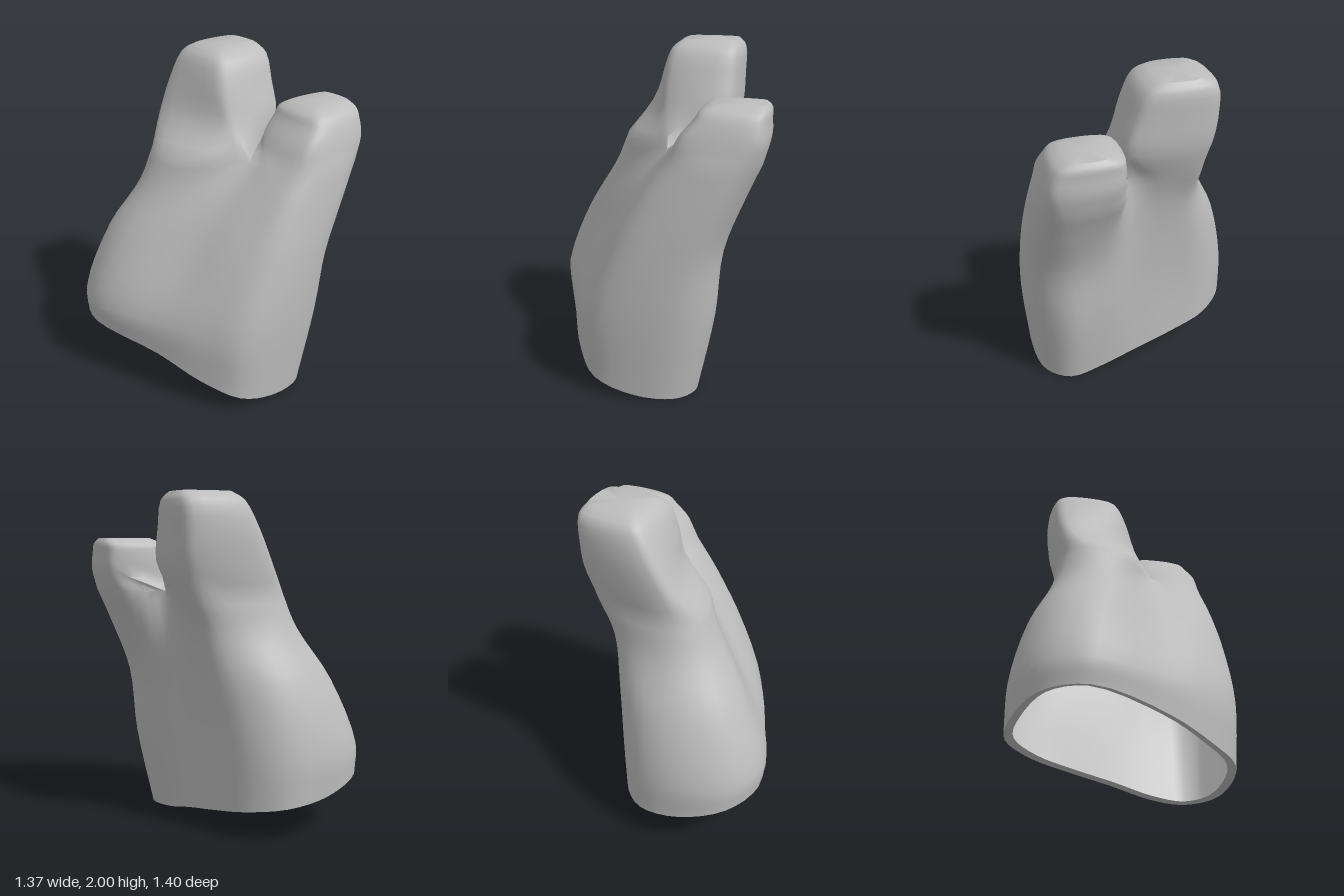
import * as THREE from 'three';
import { toCreasedNormals } from 'three/addons/utils/BufferGeometryUtils.js';

const SUB = 4;            // samples between neighbouring control points
const ARC = 7 * SUB;      // samples along one lobe
const RING = 2 * ARC;     // samples around the joined body
const WALL = 0.05;

// Heights of the slanted lower rim at the control points of the first section
const RIM_Y = [.28, .35, .33, .26, .22, .18, .13, .08, .02, .005, .01, .03, .1, .18];

// Body sections [y, x,z ...]: front crease, six points round the right lobe,
// back crease, six points round the left lobe.
const SECTIONS = [
  [0, .15, .52, -.3, .68, -.55, .58, -.67, .32, -.67, .06, -.5, -.13, -.25, -.21,
    0, -.26, .25, -.3, .45, -.33, .59, -.23, .64, 0, .61, .25, .42, .4],
  [.5, .16, .51, -.28, .69, -.53, .6, -.67, .34, -.66, .05, -.5, -.14, -.24, -.22,
    .02, -.29, .25, -.38, .47, -.43, .63, -.3, .68, -.02, .63, .24, .43, .38],
  [.9, .16, .3, -.2, .52, -.43, .48, -.57, .26, -.57, 0, -.42, -.2, -.2, -.27,
    .04, -.33, .25, -.43, .48, -.47, .64, -.36, .68, -.12, .62, .1, .42, .22],
  [1.2, .2, .1, -.1, .32, -.3, .32, -.43, .17, -.43, -.07, -.34, -.27, -.18, -.33,
    .06, -.36, .22, -.52, .48, -.58, .63, -.48, .66, -.25, .6, -.05, .43, .03],
  [1.42, .24, -.1, .03, .17, -.24, .24, -.37, .14, -.39, -.16, -.34, -.37, -.12, -.4,
    .09, -.37, .18, -.62, .5, -.67, .6, -.6, .64, -.38, .58, -.19, .4, -.12],
];

// Stub sections: y, x0, x1, z0, z1, and how far the front's inner end is set back
const RIGHT_STUB = [
  [1.6, -.4, .12, -.44, .14, .17], [1.8, -.42, .06, -.45, .03, .06],
  [1.95, -.4, 0, -.45, -.06, 0], [2, -.33, -.07, -.42, -.12, 0],
];
const LEFT_STUB = [
  [1.55, .17, .59, -.69, -.23, 0], [1.65, .17, .56, -.69, -.31, 0],
  [1.7, .18, .53, -.69, -.34, 0], [1.735, .25, .47, -.67, -.4, 0],
];
// Rounded rectangle in unit coordinates, starting at the inner front corner
const UNIT = [[1, .88], [.88, 1], [.12, 1], [0, .88], [0, .12], [.12, 0], [.88, 0], [1, .12]];

function sampleLoop(points) {
  const curve = new THREE.CatmullRomCurve3(points, true, 'centripetal');
  const n = points.length * SUB;
  return Array.from({ length: n }, (_, i) => curve.getPoint(i / n));
}

// Smooth a stack of equal rings along its columns
function densify(rings, steps) {
  const columns = rings[0].map((_, c) =>
    new THREE.CatmullRomCurve3(rings.map(r => r[c]), false, 'centripetal'));
  const n = (rings.length - 1) * steps;
  return Array.from({ length: n + 1 }, (_, i) => columns.map(c => c.getPoint(i / n)));
}

function makeGeometry(vertices, index) {
  const g = new THREE.BufferGeometry().setFromPoints(vertices);
  g.setIndex(index);
  g.computeVertexNormals();
  return g;
}

function buildShell() {
  const vertices = [], index = [];
  const add = p => vertices.push(p) - 1;
  const band = (a, b) => a.forEach((_, i) => {
    const j = (i + 1) % a.length;
    index.push(a[i], b[i], a[j], a[j], b[i], b[j]);
  });

  // Joined body with a slanted lower rim
  const rings = SECTIONS.map((s, k) => sampleLoop(RIM_Y.map((rimY, i) =>
    new THREE.Vector3(s[2 * i + 1], k ? s[0] : rimY, s[2 * i + 2]))));
  const rows = densify(rings, 4).map(r => r.map(add));
  for (let k = 1; k < rows.length; k++) band(rows[k - 1], rows[k]);

  // Saddle between the two stubs, shared by both
  const top = rows[rows.length - 1];
  const saddle = [];
  for (let i = 1; i < SUB; i++) {
    saddle.push(add(vertices[top[ARC]].clone().lerp(vertices[top[0]], i / SUB)));
  }

  // Stubs with closed tops
  const stub = (base, spec, flip) => {
    const loops = spec.map(([y, x0, x1, z0, z1, setBack]) => sampleLoop(UNIT.map(([a, b]) => {
      const u = flip ? 1 - a : a, v = flip ? 1 - b : b;
      return new THREE.Vector3(x0 + (x1 - x0) * u, y, z0 + (z1 - setBack * u - z0) * v);
    })));
    const levels = densify([base.map(i => vertices[i]), ...loops], 3);
    let previous = base;
    for (const level of levels.slice(1)) {
      const next = level.map(add);
      band(previous, next);
      previous = next;
    }
    const middle = new THREE.Vector3();
    previous.forEach(i => middle.addScaledVector(vertices[i], 1 / previous.length));
    const m = add(middle);
    previous.forEach((p, i) => index.push(p, m, previous[(i + 1) % previous.length]));
  };
  stub([...top.slice(0, ARC + 1), ...saddle], RIGHT_STUB, false);
  stub([...top.slice(ARC), top[0], ...saddle.slice().reverse()], LEFT_STUB, true);
  return { vertices, index };
}

export function createModel() {
  const group = new THREE.Group();
  const outerGrey = new THREE.MeshStandardMaterial({ color: 0xbdbdbd });
  outerGrey.name = 'outer grey';
  const liningGrey = new THREE.MeshStandardMaterial({ color: 0xdcdcdc });
  liningGrey.name = 'lining light grey';
  const part = (name, geometry, material) => {
    const mesh = new THREE.Mesh(geometry, material);
    mesh.name = name;
    group.add(mesh);
  };

  // Outer skin
  const { vertices, index } = buildShell();
  const skin = makeGeometry(vertices, index);
  part('outerSkin', toCreasedNormals(skin, 0.75), outerGrey);

  // Lining: the skin moved inward and turned inside out
  const normals = skin.getAttribute('normal');
  const inner = vertices.map((p, i) =>
    p.clone().addScaledVector(new THREE.Vector3().fromBufferAttribute(normals, i), -WALL));
  for (let i = 0; i < RING; i++) inner[i].y = vertices[i].y + 0.01;
  part('lining', makeGeometry(inner, index.slice().reverse()), liningGrey);

  // Rim joining skin and lining round the opening
  const rim = [];
  for (let i = 0; i < RING; i++) {
    const j = (i + 1) % RING;
    rim.push(i, j, RING + i, j, RING + j, RING + i);
  }
  part('rim', makeGeometry([...vertices.slice(0, RING), ...inner.slice(0, RING)], rim), outerGrey);
  return group;
}
